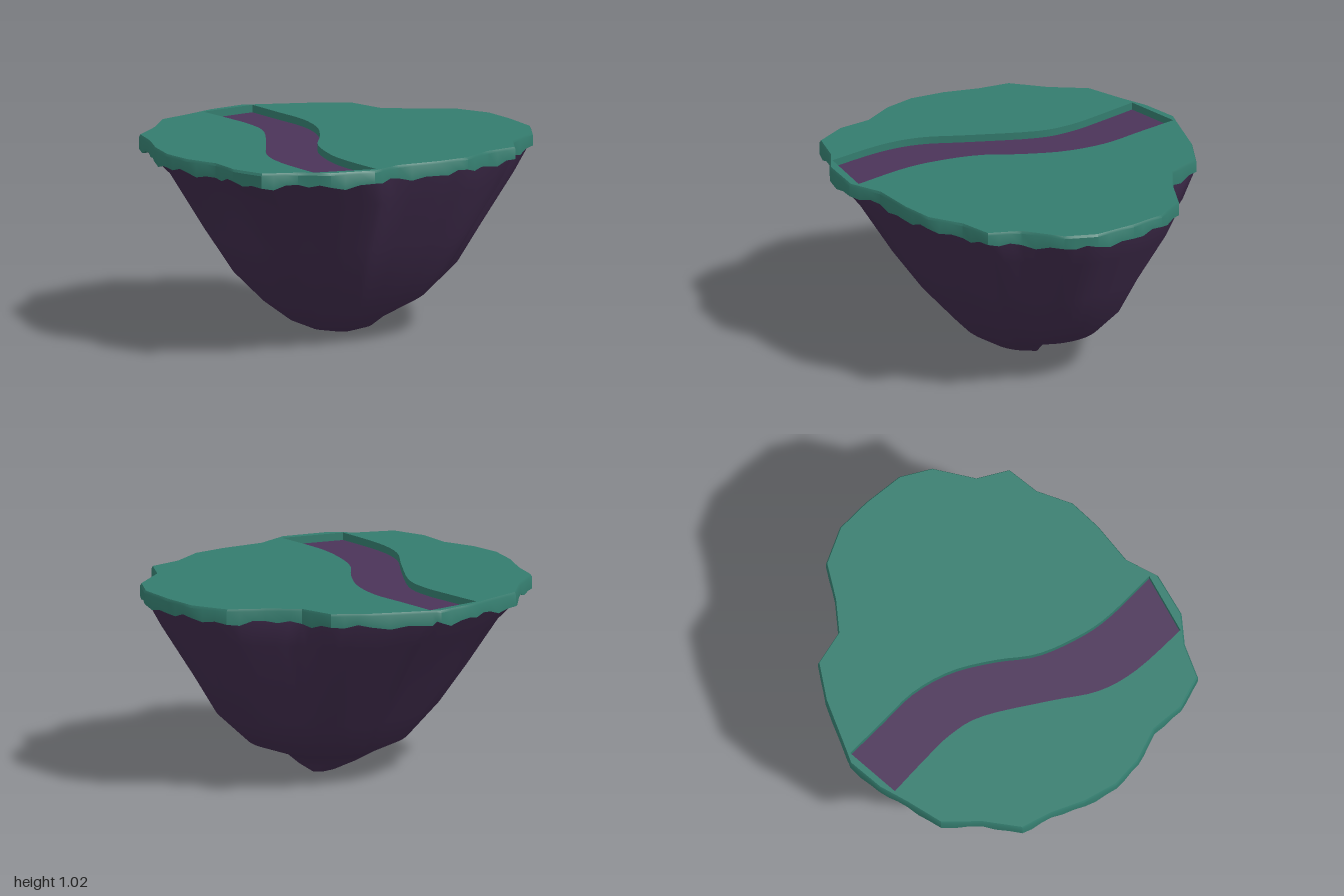
import * as THREE from 'three';
import { mergeVertices, toCreasedNormals } from 'three/addons/utils/BufferGeometryUtils.js';

const V = (x, z) => new THREE.Vector2(x, z);

// Island outline seen from above (x, z), from the back round by the left side
const OUTLINE = [
  [0.06, -0.92], [0.12, -0.89], [0.39, -0.76], [0.56, -0.64], [0.60, -0.45], [0.74, -0.33],
  [0.91, -0.22], [0.995, -0.03], [0.995, 0.16], [0.97, 0.38], [0.88, 0.53], [0.68, 0.65],
  [0.59, 0.80], [0.41, 0.815], [0.23, 0.895], [0.05, 0.895], [-0.18, 0.865], [-0.36, 0.915],
  [-0.59, 0.85], [-0.72, 0.74], [-0.89, 0.66], [-0.945, 0.48], [-0.93, 0.30], [-0.99, 0.12],
  [-1.0, -0.05], [-0.95, -0.23], [-0.87, -0.40], [-0.82, -0.56], [-0.65, -0.68],
  [-0.50, -0.83], [-0.30, -0.87], [-0.14, -0.91],
].map(([x, z]) => V(x, z));

// Two edges of the sunken path, back to front
const PATH_A = [[-0.21, -0.87], [-0.20, -0.65], [-0.20, -0.45], [-0.25, -0.26], [-0.44, 0.04],
  [-0.58, 0.25], [-0.64, 0.47], [-0.65, 0.78]];
const PATH_B = [[0.10, -0.88], [0.10, -0.65], [0.10, -0.42], [0.04, -0.20], [-0.08, 0.0],
  [-0.21, 0.17], [-0.29, 0.37], [-0.33, 0.57], [-0.33, 0.88]];

// Rock levels: y, min x, max x, min z, max z, roundness
const ROCK = [
  [0.985, -0.985, 0.985, -0.905, 0.90, 0],
  [0.95, -0.975, 0.98, -0.895, 0.89, 0.05],
  [0.82, -0.85, 0.915, -0.79, 0.82, 0.25],
  [0.55, -0.71, 0.75, -0.585, 0.67, 0.5],
  [0.35, -0.58, 0.64, -0.44, 0.54, 0.65],
  [0.19, -0.41, 0.47, -0.32, 0.41, 0.8],
  [0.10, -0.31, 0.22, -0.10, 0.31, 0.9],
  [0.045, -0.18, 0.16, -0.02, 0.22, 1],
  [0.01, -0.03, 0.12, 0.03, 0.09, 1],
];

// Skin closed rings of equal length, listed from top to bottom
function loft(rings, tip) {
  const n = rings[0].length, pos = rings.flat().flatMap((p) => p.toArray()), idx = [];
  for (let j = 0; j < rings.length - 1; j++) {
    for (let i = 0; i < n; i++) {
      const k = (i + 1) % n, a = j * n + i, b = j * n + k;
      idx.push(a, b, a + n, b, b + n, a + n);
    }
  }
  if (tip) {
    const base = (rings.length - 1) * n;
    pos.push(...tip.toArray());
    for (let i = 0; i < n; i++) idx.push(base + i, base + (i + 1) % n, base + n);
  }
  const g = new THREE.BufferGeometry();
  g.setAttribute('position', new THREE.Float32BufferAttribute(pos, 3));
  g.setIndex(idx);
  g.computeVertexNormals();
  return g;
}

const ring = (pts, y) => pts.map((p, i) => new THREE.Vector3(p.x, typeof y === 'function' ? y(i) : y, p.y));

// Flat horizontal sheet with an optional hole
function sheet(pts, y, hole) {
  const flip = (list) => list.map((p) => V(p.x, -p.y));
  const s = new THREE.Shape(flip(pts));
  if (hole) s.holes.push(new THREE.Path(flip(hole)));
  return new THREE.ShapeGeometry(s).rotateX(-Math.PI / 2).translate(0, y, 0);
}

// Each outline edge split into three
const fineOutline = OUTLINE.flatMap((p, i) => {
  const q = OUTLINE[(i + 1) % OUTLINE.length];
  return [p, p.clone().lerp(q, 1 / 3), p.clone().lerp(q, 2 / 3)];
});

// Fit the outline into a level's extents, blending toward an ellipse lower down
function rockRing([y, x0, x1, z0, z1, round]) {
  return fineOutline.map((p) => {
    const u = V(p.x, p.y / 0.918);
    u.lerp(u.clone().normalize(), round);
    return new THREE.Vector3((x0 + x1) / 2 + u.x * (x1 - x0) / 2, y, (z0 + z1) / 2 + u.y * (z1 - z0) / 2);
  });
}

export function createModel() {
  const island = new THREE.Group();
  island.name = 'floatingIsland';
  const mat = (color, side = THREE.FrontSide) => new THREE.MeshStandardMaterial({ color, side });
  const grass = mat(0x347c6e, THREE.DoubleSide);
  const add = (name, geometry, material) => {
    const m = new THREE.Mesh(geometry, material);
    m.name = name;
    island.add(m);
  };

  // Smooth path edges, joined into one loop
  const smooth = (list) => new THREE.SplineCurve(list.map(([x, z]) => V(x, z))).getPoints(28);
  const pathLoop = [...smooth(PATH_A), ...smooth(PATH_B).reverse()];

  // Rock underside
  add('rockBody', loft(ROCK.map(rockRing), new THREE.Vector3(0.05, 0, 0.06)), mat(0x3f2b4b));

  // Grass surface with the path cut out
  const scaled = (s) => fineOutline.map((p) => p.clone().multiplyScalar(s));
  add('grassTop', sheet(scaled(0.993), 1.025, pathLoop), grass);

  // Grass rim with a ragged lower edge tucked under
  const ragged = (i) => 0.952 + 0.01 * Math.sin(i * 2.1) + 0.008 * Math.sin(i * 0.9 + 1);
  const rim = loft([
    ring(scaled(0.993), 1.025), ring(fineOutline, 1.012),
    ring(fineOutline, ragged), ring(scaled(0.965), (i) => ragged(i) + 0.004),
  ]);
  add('grassRim', toCreasedNormals(rim, 0.5), grass);

  // Sunken path and its banks
  add('pathBanks', toCreasedNormals(mergeVertices(loft([ring(pathLoop, 1.025), ring(pathLoop, 0.98)])), 0.6), grass);
  add('pathFloor', sheet(pathLoop, 0.986), mat(0x4b3459, THREE.DoubleSide));
  return island;
}
